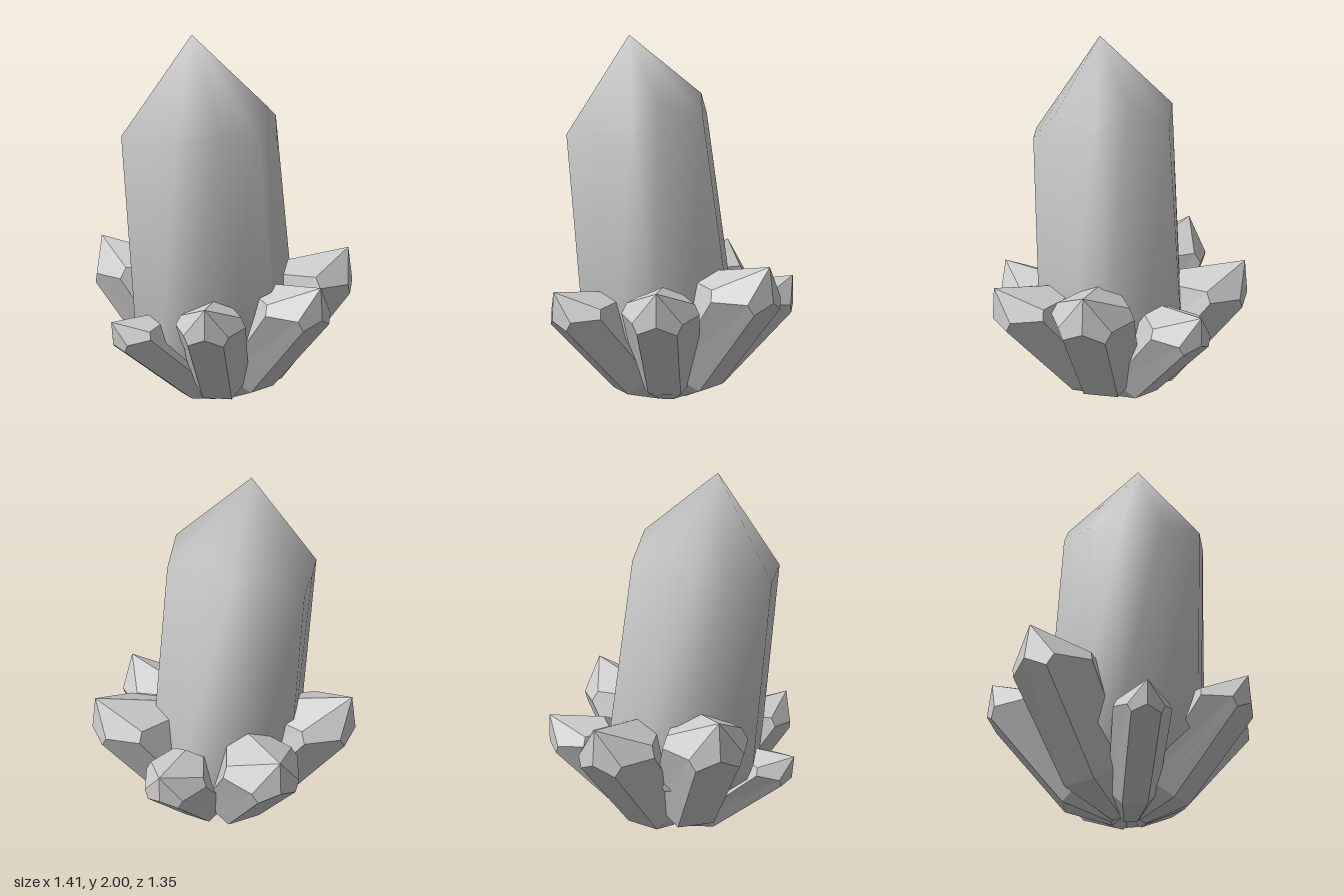
import * as THREE from 'three';

// Skin over twelve-point rings (ordered counter-clockwise about the axis), closed by a foot and a tip.
function loft(rings, foot, tip) {
  const n = rings[0].length;
  const points = [...rings.flat(), foot, tip];
  const footId = rings.length * n, tipId = footId + 1;
  const index = [];
  for (let i = 0; i < n; i++) {
    const j = (i + 1) % n;
    index.push(footId, j, i);
    for (let r = 0; r < rings.length - 1; r++) {
      const a = r * n, b = a + n;
      index.push(a + i, a + j, b + j, a + i, b + j, b + i);
    }
    const t = (rings.length - 1) * n;
    index.push(t + i, t + j, tipId);
  }
  const geo = new THREE.BufferGeometry().setFromPoints(points);
  geo.setIndex(index);
  geo.computeVertexNormals();
  return geo;
}

const V = (x, y, z) => new THREE.Vector3(x, y, z);

// Insert the middle of every side between six corners, starting with the front side.
function withMiddles(corners) {
  return corners.flatMap((c, i) => [corners[(i + 5) % 6].clone().lerp(c, 0.5), c]);
}

// Large leaning crystal
function mainCrystal() {
  const foot = withMiddles([0, 1, 2, 3, 4, 5].map(i => {
    const a = Math.PI / 6 + i * Math.PI / 3;
    return V(-0.02 + 0.1 * Math.sin(a), 0.06, 0.02 + 0.1 * Math.cos(a));
  }));
  const low = withMiddles([
    V(0.19, 0.4, 0.45), V(0.42, 0.4, 0.05), V(0.2, 0.4, -0.355),
    V(-0.25, 0.4, -0.355), V(-0.47, 0.4, 0.05), V(-0.24, 0.4, 0.45),
  ]);
  const top = [
    V(-0.02, 1.48, 0.53), V(0.19, 1.48, 0.53),
    V(0.3, 1.5, 0.345), V(0.39, 1.49, 0.16),
    V(0.32, 1.64, 0.02), V(0.19, 1.57, -0.19),
    V(-0.02, 1.69, -0.17), V(-0.24, 1.57, -0.19),
    V(-0.37, 1.64, 0.02), V(-0.44, 1.49, 0.16),
    V(-0.35, 1.5, 0.345), V(-0.24, 1.48, 0.53),
  ];
  return loft([foot, low, top], V(-0.02, 0.05, 0.02), V(-0.03, 2, 0.22));
}

// Six-sided crystal with one flat side facing outwards and down. Its axis passes the origin
// at the distance shift. The tip sits outside the axis and has a kite-shaped facet per corner.
function sideCrystal(tip, R, shoulder, shift) {
  const offset = 0.28, slope = 1.2, c30 = Math.cos(Math.PI / 6);
  const radial = V(tip.x, 0, tip.z).normalize();
  const tilt = Math.atan2(Math.hypot(tip.x, tip.z), tip.y)
    - Math.asin((shift + offset * R) / tip.length());
  const axis = V(0, Math.cos(tilt), 0).addScaledVector(radial, Math.sin(tilt));
  const out = V(0, -Math.sin(tilt), 0).addScaledVector(radial, Math.cos(tilt));
  const side = axis.clone().cross(out);
  const L = tip.dot(axis);
  const at = (u, v, h) => {
    const p = axis.clone().multiplyScalar(h).addScaledVector(out, u).addScaledVector(side, v);
    p.y = Math.max(p.y, 0);
    return p;
  };
  const angles = Array.from({ length: 12 }, (_, i) => i * Math.PI / 6);
  const ring = (radius, h, u) => angles.map((a, i) => {
    const r = i % 2 ? radius : radius * c30;
    return at(u + r * Math.cos(a), r * Math.sin(a), h);
  });
  const crown = angles.map((a, i) => {
    if (i % 2) {
      return at(shift + R * Math.cos(a), R * Math.sin(a), L - slope * R * (1 - offset * Math.cos(a)));
    }
    const t = R * (c30 - offset * Math.cos(a)); // ridge from the tip to the side
    return at(shift + offset * R + t * Math.cos(a), t * Math.sin(a), L - slope * t * c30);
  });
  return loft([ring(0.065, 0.065, 0), ring(R * 0.87, shoulder, shift), crown], at(0, 0, 0.06), tip);
}

export function createModel() {
  const group = new THREE.Group();
  const smooth = new THREE.MeshStandardMaterial({ color: 0xcccccc });
  const faceted = new THREE.MeshStandardMaterial({ color: 0xcccccc, flatShading: true });
  const add = (name, geo, mat) => {
    const mesh = new THREE.Mesh(geo, mat);
    mesh.name = name;
    group.add(mesh);
  };

  add('mainCrystal', mainCrystal(), smooth);

  // Ring of small crystals: name, tip, radius, height of the lower shoulder, shift of the axis
  [
    ['leftCrystal', V(0.69, 0.74, 0.01), 0.2, 0.26, 0],
    ['frontLeftCrystal', V(0.42, 0.68, 0.57), 0.18, 0.27, 0.045],
    ['frontCrystal', V(-0.18, 0.52, 0.67), 0.145, 0.22, 0.025],
    ['frontRightCrystal', V(-0.665, 0.87, 0.33), 0.23, 0.33, 0.045],
    ['backRightCrystal', V(-0.67, 0.79, -0.3), 0.22, 0.29, 0.03],
    ['backCrystal', V(-0.18, 0.67, -0.68), 0.18, 0.26, 0.02],
    ['backLeftCrystal', V(0.42, 0.83, -0.545), 0.22, 0.27, 0.01],
  ].forEach(([name, tip, R, shoulder, shift]) => add(name, sideCrystal(tip, R, shoulder, shift), faceted));

  return group;
}
